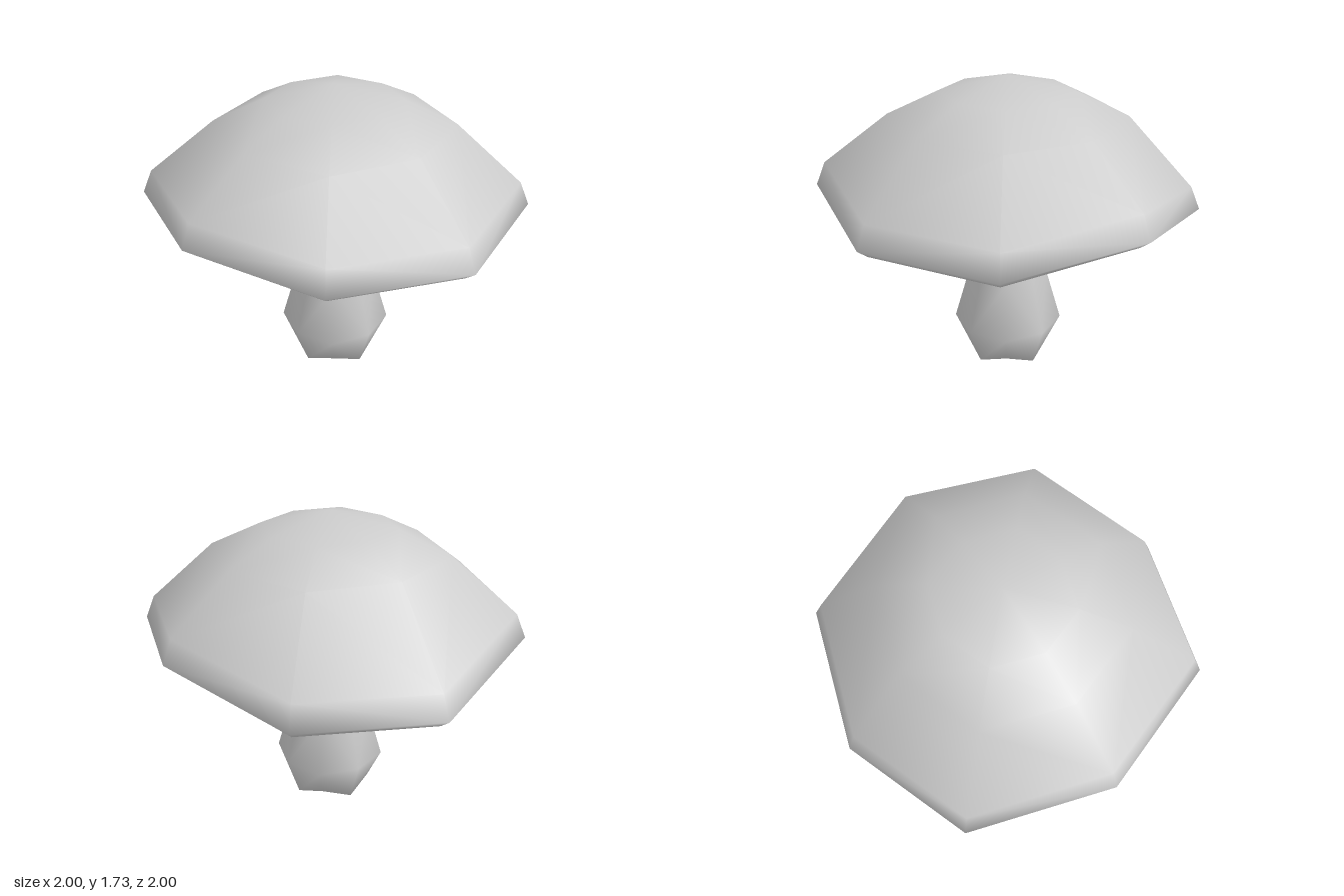
import * as THREE from 'three';
import { mergeVertices } from 'three/addons/utils/BufferGeometryUtils.js';

const SIDES = 8;

// Heights of the wavy cap rim, starting at the front and turning towards +x
const WAVE = [0.983, 1.003, 1.055, 0.935, 0.873, 1.035, 1.085, 1.055];

// Each ring: r = radius, y = height, wave = follow the rim heights,
// diag = radius factor and lift = extra height on the diagonal corners
function ringPoints({ r, y, wave = false, diag = 1.06, lift = 0 }) {
  return Array.from({ length: SIDES }, (_, i) => {
    const a = (i / SIDES) * Math.PI * 2;
    const odd = i % 2 === 1;
    const radius = odd ? r * diag : r;
    const height = y + (wave ? WAVE[i] : 0) + (odd ? lift : 0);
    return [radius * Math.sin(a), height, radius * Math.cos(a)];
  });
}

// Skin a list of rings (from the top down the outside) with smooth normals
function loft(rings) {
  const positions = rings.flatMap((ring) => ringPoints(ring).flat());
  const index = [];
  for (let k = 0; k < rings.length - 1; k++) {
    for (let i = 0; i < SIDES; i++) {
      const j = (i + 1) % SIDES;
      const a = k * SIDES + i, b = k * SIDES + j;
      const c = a + SIDES, d = b + SIDES;
      // Mirror the quad split so that both halves match
      if (i % 2 === 0) index.push(a, c, b, b, c, d);
      else index.push(a, c, d, a, d, b);
    }
  }
  const geometry = new THREE.BufferGeometry();
  geometry.setAttribute('position', new THREE.Float32BufferAttribute(positions, 3));
  geometry.setIndex(index);
  const welded = mergeVertices(geometry, 1e-4);
  welded.computeVertexNormals();
  return welded;
}

export function createModel() {
  const group = new THREE.Group();
  group.name = 'mushroom';
  const material = new THREE.MeshStandardMaterial({ color: 0xcccccc });

  const add = (name, rings) => {
    const mesh = new THREE.Mesh(loft(rings), material);
    mesh.name = name;
    group.add(mesh);
  };

  // Domed cap down to its drooping, bevelled rim
  add('cap', [
    { r: 0, y: 1.73 },
    { r: 0.35, y: 1.642 },
    { r: 0.61, y: 1.512 },
    { r: 0.95, y: 0.177, wave: true },
    { r: 1.0, y: 0.047, wave: true },
    { r: 0.94, y: 0, wave: true },
  ]);

  // Hollow underside flowing into the flared stem with a bulbous foot
  add('undersideAndStem', [
    { r: 0.94, y: 0, wave: true },
    { r: 0.345, y: 1.22 },
    { r: 0.185, y: 1.05 },
    { r: 0.168, y: 0.82 },
    { r: 0.205, y: 0.6 },
    { r: 0.288, y: 0.29 },
    { r: 0.215, y: 0.073, lift: 0.06 },
    { r: 0, y: 0 },
  ]);

  return group;
}
